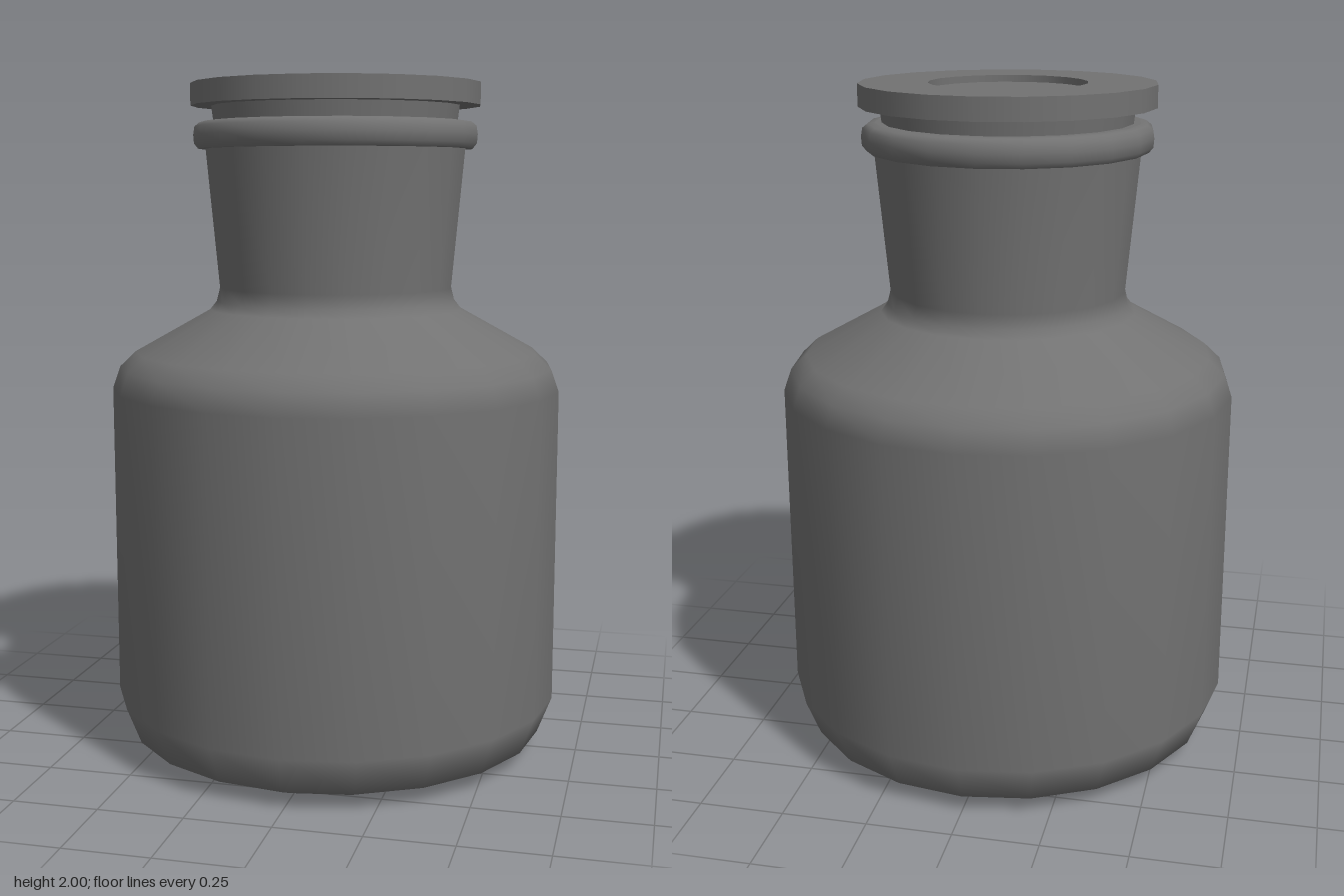
import * as THREE from 'three';
import { mergeGeometries } from 'three/addons/utils/BufferGeometryUtils.js';

const SIDES = 20;
const material = new THREE.MeshStandardMaterial({ color: 0x727272 });

// Turns several [radius, y] runs; each run is smooth, edges between runs stay sharp.
function turned(name, ...runs) {
  const parts = runs.map((run) =>
    new THREE.LatheGeometry(run.map(([r, y]) => new THREE.Vector2(r, y)), SIDES));
  const mesh = new THREE.Mesh(mergeGeometries(parts), material);
  mesh.name = name;
  return mesh;
}

export function createModel() {
  const group = new THREE.Group();
  group.name = 'stopperedBottle';

  // Body with rounded base, sloping shoulder and slightly flared neck
  group.add(turned('bottleBody',
    [[0, 0], [0.515, 0]],
    [[0.515, 0], [0.54, 0.01], [0.632, 0.05], [0.675, 0.16], [0.675, 1.1], [0.652, 1.165],
      [0.605, 1.21], [0.38, 1.335], [0.36, 1.36], [0.35, 1.4], [0.388, 1.81]]));

  // Rounded rim closing in on the stopper
  group.add(turned('bottleRim',
    [[0.385, 1.81], [0.41, 1.81]],
    [[0.41, 1.81], [0.422, 1.825], [0.424, 1.85], [0.42, 1.875], [0.405, 1.887], [0.385, 1.89]],
    [[0.385, 1.89], [0.34, 1.89]]));

  // Tapered plug reaching down into the neck
  group.add(turned('stopperPlug',
    [[0, 1.5], [0.315, 1.5]],
    [[0.315, 1.5], [0.37, 1.935]]));

  // Flat stopper cap with a shallow round recess
  group.add(turned('stopperCap',
    [[0.36, 1.935], [0.431, 1.935]],
    [[0.431, 1.935], [0.431, 2]],
    [[0.431, 2], [0.231, 2]],
    [[0.231, 2], [0.231, 1.98]],
    [[0.231, 1.98], [0, 1.98]]));

  return group;
}
